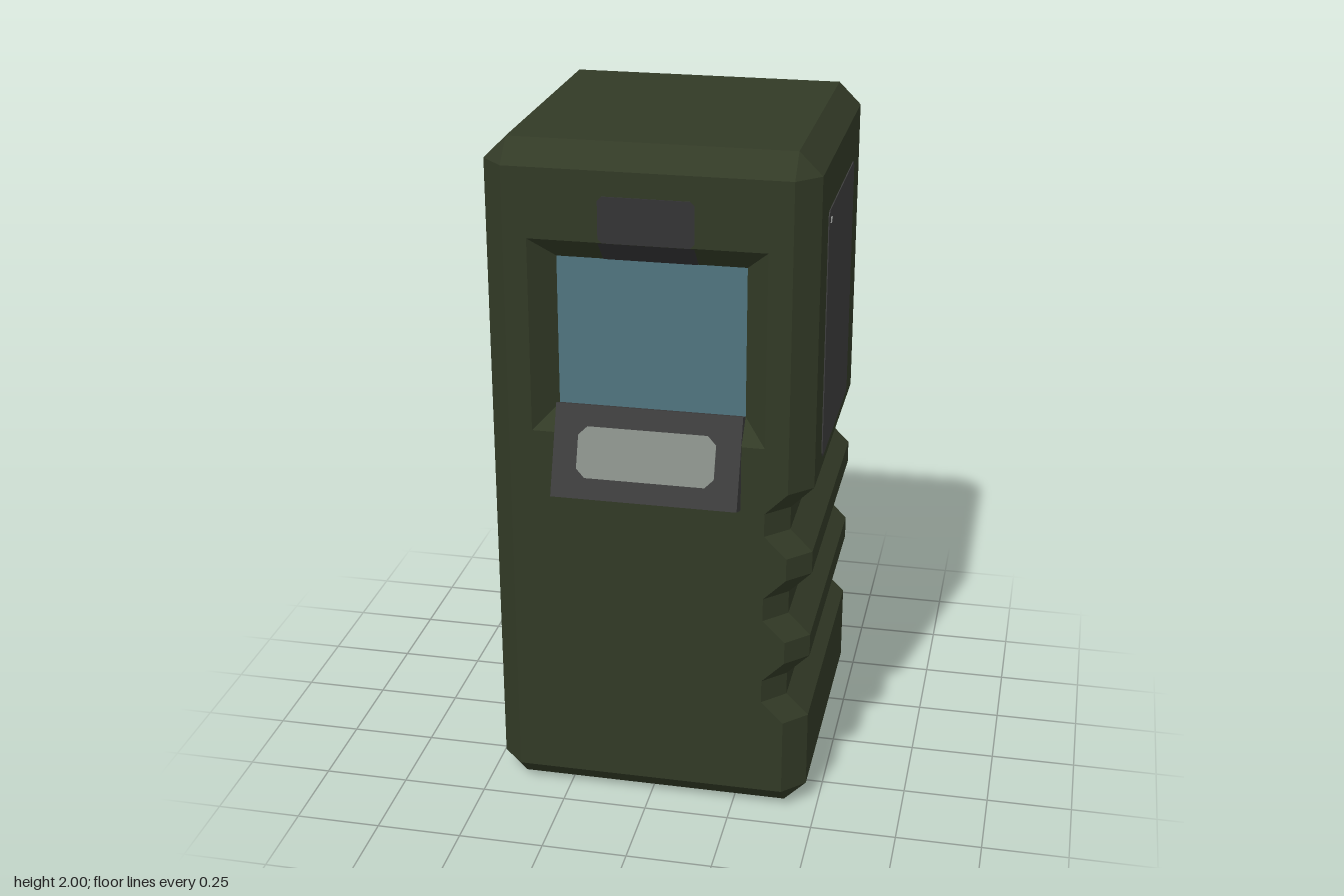
import * as THREE from 'three';

const material = (name, color) => {
  const m = new THREE.MeshStandardMaterial({ color });
  m.name = name;
  return m;
};

export function createModel() {
  const olive = material('olive casing', 0x323a26);
  const charcoal = material('charcoal panel', 0x3d3d3d);
  const black = material('dark trim', 0x343435);
  const blue = material('screen blue', 0x50757f);
  const sage = material('key grey', 0x878d87);
  const grey = material('label grey', 0x929492);
  const pale = material('label paper', 0xe0e0d6);
  const red = material('indicator red', 0xa5240f);

  const group = new THREE.Group();
  const add = (name, geometry, mat) => {
    const mesh = new THREE.Mesh(geometry, mat);
    mesh.name = name;
    group.add(mesh);
    return mesh;
  };

  // Flat-faced geometry from a list of quads (corners counter-clockwise from outside)
  const fromQuads = (quads) => {
    const pos = [];
    for (const [a, b, c, d] of quads) pos.push(...a, ...b, ...c, ...a, ...c, ...d);
    const g = new THREE.BufferGeometry();
    g.setAttribute('position', new THREE.Float32BufferAttribute(pos, 3));
    g.computeVertexNormals();
    return g;
  };
  const shapeOf = (pts) => new THREE.Shape(pts.map(([x, y]) => new THREE.Vector2(x, y)));

  // Rectangle with clipped corners
  const rect = (x0, y0, x1, y1, c = 0) => c === 0
    ? [[x0, y0], [x1, y0], [x1, y1], [x0, y1]]
    : [[x0 + c, y0], [x1 - c, y0], [x1, y0 + c], [x1, y1 - c],
       [x1 - c, y1], [x0 + c, y1], [x0, y1 - c], [x0, y0 + c]];

  // Thin plate laid on one side of the casing; layer lifts it over other plates
  const sides = {
    front: { p: [0, 0, 0.435], r: [0, 0, 0] },
    back: { p: [0, 0, -0.5], r: [0, Math.PI, 0] },
    gripSide: { p: [0.465, 0, 0], r: [0, Math.PI / 2, 0] },
    controlSide: { p: [-0.465, 0, 0], r: [0, -Math.PI / 2, 0] },
    bottom: { p: [0, 0, 0], r: [Math.PI / 2, 0, 0] },
  };
  const plate = (name, mat, side, pts, layer = 1, hole = null) => {
    const shape = shapeOf(pts);
    if (hole) shape.holes.push(shapeOf(hole));
    const g = new THREE.ExtrudeGeometry(shape, { depth: 0.003 * layer, bevelEnabled: false });
    const mesh = add(name, g, mat);
    mesh.position.set(...sides[side].p);
    mesh.rotation.set(...sides[side].r);
    return mesh;
  };

  // Casing: bevelled rings stacked along y, with three finger grooves on +x
  const B = 0.065, XL = -0.465, XR = 0.465, ZF = 0.435, ZB = -0.5;
  const profile = [[B, XR]];
  for (let i = 0; i < 3; i++) {
    const y = 0.3 + i * 0.268;
    profile.push([y, XR], [y + B, XR - B], [y + 2 * B + 0.005, XR - B], [y + 3 * B + 0.005, XR]);
  }
  profile.push([2 - B, XR]);

  const ring = (y, xr) => [
    [XL + B, y, ZF], [xr - B, y, ZF], [xr, y, ZF - B], [xr, y, ZB + B],
    [xr - B, y, ZB], [XL + B, y, ZB], [XL, y, ZB + B], [XL, y, ZF - B]];
  const capRing = (y) => {
    const x0 = XL + B, x1 = XR - B, z0 = ZB + B, z1 = ZF - B;
    return [[x0, y, z1], [x1, y, z1], [x1, y, z1], [x1, y, z0],
      [x1, y, z0], [x0, y, z0], [x0, y, z0], [x0, y, z1]];
  };
  const rings = [capRing(0), ...profile.map(([y, xr]) => ring(y, xr)), capRing(2)];
  const quads = [];
  for (let r = 0; r < rings.length - 1; r++) {
    const end = r === 0 || r === rings.length - 2;
    for (let i = 0; i < 8; i++) {
      if (i === 0 && !end) continue; // front face is a separate sheet with a hole
      if (i === 5 - 1 && !end) { // back sheet
        quads.push([rings[r][4], rings[r][5], rings[r + 1][5], rings[r + 1][4]]);
        continue;
      }
      const j = (i + 1) % 8;
      quads.push([rings[r][i], rings[r][j], rings[r + 1][j], rings[r + 1][i]]);
    }
  }
  const top = rings[rings.length - 1], base = rings[0];
  quads.push([top[0], top[1], top[3], top[5]], [base[5], base[3], base[1], base[0]]);

  // Sloping walls of the screen recess
  const outer = rect(-0.333, 1.17, 0.333, 1.735).map(([x, y]) => [x, y, ZF]);
  const inner = rect(-0.267, 1.235, 0.267, 1.67).map(([x, y]) => [x, y, ZF - B]);
  for (let i = 0; i < 4; i++) {
    const j = (i + 1) % 4;
    quads.push([outer[i], outer[j], inner[j], inner[i]]);
  }
  add('casing', fromQuads(quads), olive);

  // Front sheet following the grooves, open at the recess
  const front = shapeOf([[XL + B, 2 - B], [XL + B, B], ...profile.map(([y, x]) => [x - B, y])]);
  front.holes.push(shapeOf(outer));
  add('frontFace', new THREE.ShapeGeometry(front), olive).position.z = ZF;

  // Screen and the dark tab above it, which folds into the recess
  add('screen', fromQuads([inner]), blue);
  plate('screenTab', black, 'front', rect(-0.133, 1.735, 0.133, 1.865, 0.012));
  add('screenTabFold', fromQuads([[
    [-0.133, 1.67, 0.374], [0.133, 1.67, 0.374], [0.133, 1.735, 0.439], [-0.133, 1.735, 0.439],
  ]]), black);

  // Tilted key block with its pale key
  const keyBlock = new THREE.Group();
  keyBlock.name = 'keyBlock';
  keyBlock.position.set(0, 1.125, 0.455);
  keyBlock.rotation.x = -0.345;
  group.add(keyBlock);
  const block = add('keyBlockBody', new THREE.BoxGeometry(0.534, 0.266, 0.12), charcoal);
  block.position.z = -0.06;
  const key = add('keyPlate', new THREE.ExtrudeGeometry(
    shapeOf(rect(-0.197, -0.073, 0.197, 0.073, 0.025)), { depth: 0.003, bevelEnabled: false }), sage);
  keyBlock.add(block, key);

  // Grip side: upper panel with a tiny stud
  plate('gripPanel', charcoal, 'gripSide', rect(-0.24, 1.07, 0.3, 1.8, 0.015));
  plate('gripPanelStud', grey, 'gripSide', rect(-0.213, 1.762, -0.195, 1.776), 2);

  // Control side: two square rings, indicator strip, lower panel with a latch
  for (const y of [1.265, 1.53]) {
    plate('buttonRing', charcoal, 'controlSide', rect(-0.3, y, -0.1, y + 0.205, 0.03), 1,
      rect(-0.233, y + 0.067, -0.167, y + 0.138));
  }
  plate('indicatorFrame', charcoal, 'controlSide', rect(0.035, 1.27, 0.235, 1.735, 0.02));
  plate('indicatorStrip', red, 'controlSide', rect(0.1, 1.335, 0.17, 1.67), 2);
  plate('lowerPanel', charcoal, 'controlSide', rect(-0.3, 0.26, 0.235, 1.07, 0.015));
  plate('panelLatch', grey, 'controlSide', rect(0.17, 1.0, 0.235, 1.06, 0.012), 2);

  // Back: stepped label with a paper centre
  plate('labelBorder', grey, 'back', [
    [-0.333, 1.53], [0, 1.53], [0, 1.595], [0.333, 1.595], [0.333, 1.33], [0.4, 1.33],
    [0.4, 1.065], [0.067, 1.065], [0.067, 1], [-0.267, 1], [-0.267, 1.33], [-0.333, 1.33]]);
  plate('labelPaper', pale, 'back', [
    [-0.267, 1.48], [0, 1.48], [0, 1.53], [0.267, 1.53], [0.267, 1.3], [0.333, 1.3],
    [0.333, 1.11], [0.067, 1.11], [0.067, 1.065], [-0.2, 1.065], [-0.2, 1.33], [-0.267, 1.33]], 2);

  // Bottom: four foot pads
  for (const x of [-0.167, 0.167]) for (const z of [-0.2, 0.135]) {
    plate('footPad', black, 'bottom', rect(x - 0.1, z - 0.1, x + 0.1, z + 0.1, 0.035));
  }
  return group;
}
